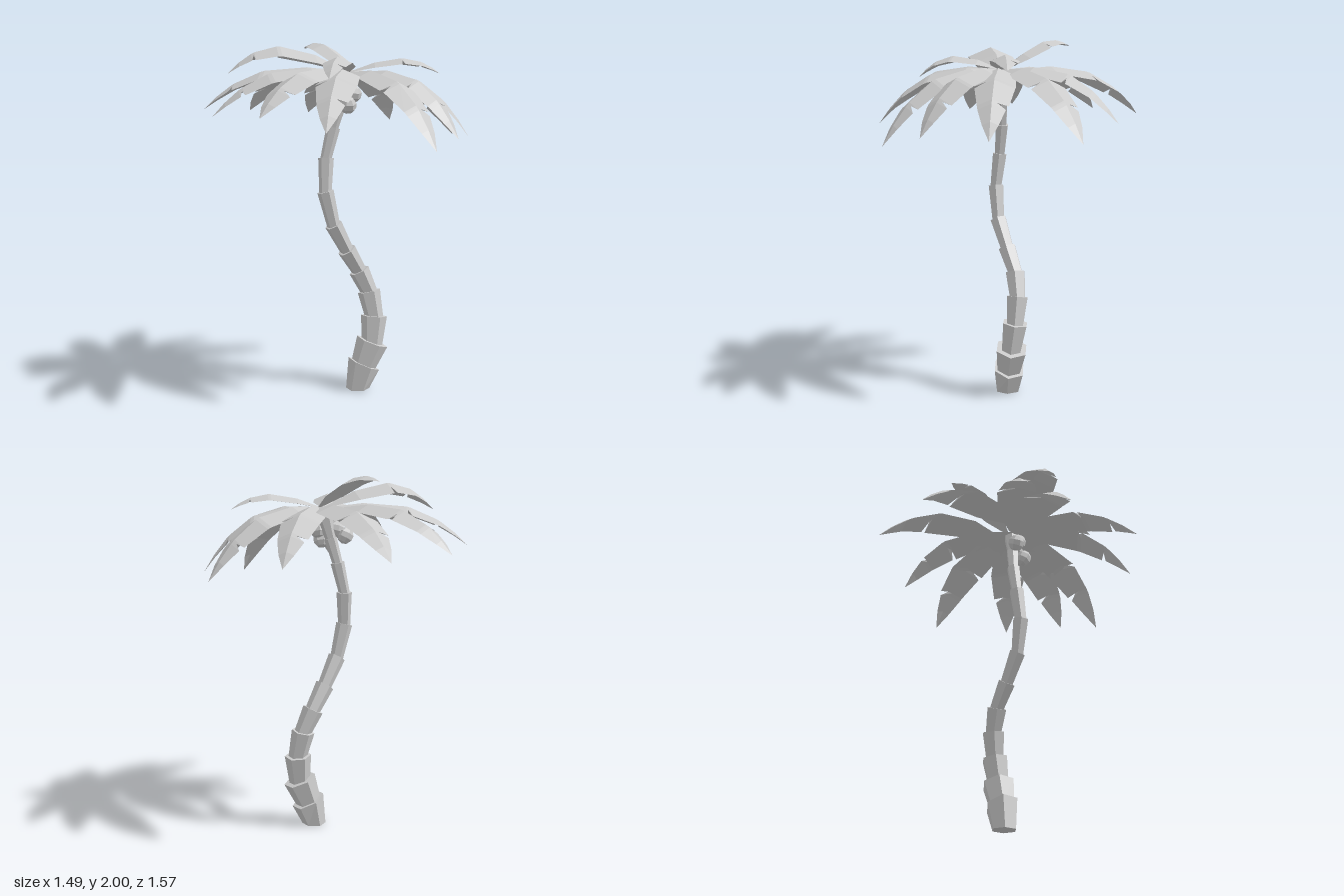
import * as THREE from 'three';

const material = new THREE.MeshStandardMaterial({ color: 0xcccccc, flatShading: true });
const UP = new THREE.Vector3(0, 1, 0);
const CROWN = new THREE.Vector3(0, 1.83, 0.035);

// Trunk joints: x, y, z of each ring and its radius
const JOINTS = [
  [0.065, 0, 0.03, 0.07], [0.10, 0.145, 0.04, 0.092], [0.15, 0.275, 0.05, 0.094],
  [0.168, 0.425, 0.037, 0.076], [0.147, 0.57, 0.012, 0.066], [0.09, 0.695, -0.004, 0.06],
  [0.005, 0.825, 0.005, 0.054], [-0.085, 0.98, 0.016, 0.05], [-0.13, 1.17, 0.008, 0.047],
  [-0.117, 1.355, -0.01, 0.044], [-0.075, 1.525, -0.003, 0.039], [-0.04, 1.66, 0.015, 0.036],
  [-0.01, 1.78, 0.03, 0.045],
];

// Fronds: tip x, tip y, tip z, initial rise, half width, start offset in x and z
const FRONDS = [
  [0.13, 1.58, -0.785, 0.10, 0.12, 0.08, -0.04], [-0.285, 1.60, -0.745, 0.10, 0.115, -0.08, -0.04],
  [0.515, 1.54, -0.405, 0.08, 0.11], [0.745, 1.46, -0.04, 0.06, 0.115],
  [0.565, 1.475, 0.39, 0.06, 0.11], [0.32, 1.485, 0.655, 0.06, 0.11, 0.07, 0.02],
  [0.11, 1.435, 0.78, 0.06, 0.11], [-0.415, 1.53, 0.61, 0.08, 0.11],
  [-0.685, 1.60, 0.425, 0.10, 0.115], [-0.745, 1.59, -0.11, 0.10, 0.12],
  [-0.70, 1.62, -0.39, 0.12, 0.11],
  [-0.635, 1.82, -0.155, 0.36, 0.135], [-0.055, 1.97, -0.43, 0.34, 0.08, 0.03, 0],
  [0.47, 1.82, 0.24, 0.20, 0.08], [-0.30, 1.79, 0.41, 0.22, 0.08],
];

// Cross-sections along a frond: position, left width, right width (dips are the slits)
const SECTIONS = [
  [0, 0, 0], [0.02, 0.12, 0.12], [0.28, 0.85, 0.85],
  [0.57, 1, 1], [0.58, 1, 0.35], [0.6, 0.98, 0.94],
  [0.78, 0.78, 0.7], [0.79, 0.25, 0.68], [0.81, 0.66, 0.65], [0.91, 0.38, 0.38], [1, 0, 0],
];

function trunkSegment(from, to, first) {
  const a = new THREE.Vector3(...from), b = new THREE.Vector3(...to);
  const dir = b.clone().sub(a);
  const length = dir.length();
  dir.normalize();
  // each segment is sunk a little into the one below
  const sink = first ? 0 : 0.02;
  const bottom = first ? from[3] : Math.min(from[3], to[3]) * 0.78;
  const mesh = new THREE.Mesh(new THREE.CylinderGeometry(to[3], bottom, length + sink, 6), material);
  mesh.position.copy(a).addScaledVector(dir, (length - sink) / 2);
  mesh.quaternion.setFromUnitVectors(UP, dir);
  mesh.name = 'trunkSegment';
  return mesh;
}

function frond([x, y, z, rise, width, startX = 0, startZ = 0]) {
  const start = CROWN.clone().add(new THREE.Vector3(startX, 0, startZ));
  const reach = new THREE.Vector3(x - start.x, 0, z - start.z);
  const side = reach.clone().normalize().cross(UP);
  const fall = rise + start.y - y;
  const positions = [], index = [];
  SECTIONS.forEach(([t, left, right], i) => {
    const ridge = start.clone().addScaledVector(reach, t);
    ridge.y += rise * t - fall * t ** 3;
    const edge = (w) => {
      const p = ridge.clone().addScaledVector(side, w * width);
      p.y -= Math.abs(w) * width * 0.42;
      return p;
    };
    const under = ridge.clone();
    under.y -= 0.018 * Math.max(left, right);
    for (const p of [edge(-left), ridge, edge(right), under]) positions.push(p.x, p.y, p.z);
    if (i === 0) return;
    for (let j = 0; j < 4; j++) {
      const a = (i - 1) * 4 + j, b = (i - 1) * 4 + (j + 1) % 4;
      index.push(a, b, b + 4, a, b + 4, a + 4);
    }
  });
  const geometry = new THREE.BufferGeometry();
  geometry.setAttribute('position', new THREE.Float32BufferAttribute(positions, 3));
  geometry.setIndex(index);
  geometry.computeVertexNormals();
  const mesh = new THREE.Mesh(geometry, material);
  mesh.name = 'frond';
  return mesh;
}

export function createModel() {
  const palm = new THREE.Group();
  palm.name = 'palmTree';

  // Curved, ringed trunk
  const trunk = new THREE.Group();
  trunk.name = 'trunk';
  for (let i = 1; i < JOINTS.length; i++) trunk.add(trunkSegment(JOINTS[i - 1], JOINTS[i], i === 1));

  // Level the foot on the ground and slope its upper rim
  const foot = trunk.children[0];
  foot.updateMatrix();
  foot.geometry.applyMatrix4(foot.matrix);
  foot.position.set(0, 0, 0);
  foot.quaternion.identity();
  const p = foot.geometry.attributes.position;
  for (let i = 0; i < p.count; i++) {
    p.setY(i, p.getY(i) < 0.06 ? 0 : p.getY(i) - (p.getX(i) - 0.1) * 0.2);
  }

  // Two tiers of drooping leaves
  const crown = new THREE.Group();
  crown.name = 'crown';
  for (const f of FRONDS) crown.add(frond(f));

  // Nuts hanging under the crown
  const nuts = new THREE.Group();
  nuts.name = 'coconuts';
  for (const [x, y, z] of [
    [-0.12, 1.675, -0.015], [-0.085, 1.71, 0.025], [-0.035, 1.65, 0.1], [0.01, 1.71, 0.075],
  ]) {
    const nut = new THREE.Mesh(new THREE.SphereGeometry(0.048, 7, 5), material);
    nut.position.set(x, y, z);
    nut.rotation.set(z * 4, 0, -x * 4);
    nut.name = 'coconut';
    nuts.add(nut);
  }

  palm.add(trunk, crown, nuts);
  return palm;
}
